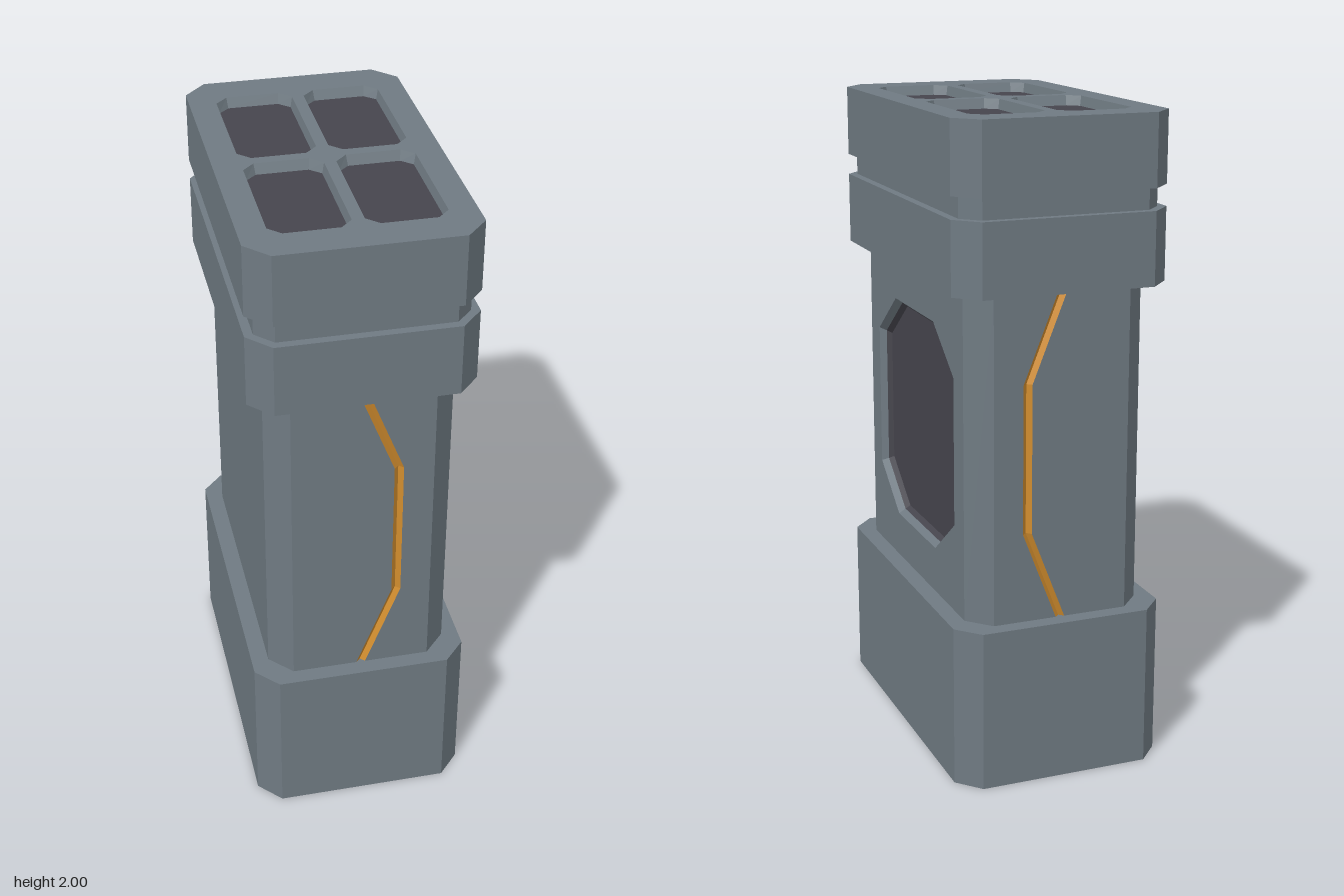
import * as THREE from 'three';

const mat = (name, color, side = THREE.FrontSide) => {
  const m = new THREE.MeshStandardMaterial({ color, side });
  m.name = name;
  return m;
};

export function createModel() {
  const steel = mat('steel grey', 0x6f7a82);
  const dark = mat('dark panel', 0x46454d);
  const amber = mat('amber', 0xd08c2e);
  const model = new THREE.Group();
  model.name = 'pillar';

  const mesh = (name, geometry, material, parent) => {
    const m = new THREE.Mesh(geometry, material);
    m.name = name;
    parent.add(m);
    return m;
  };
  const group = (name, parent = model) => {
    const g = new THREE.Group();
    g.name = name;
    parent.add(g);
    return g;
  };

  // Flat-shaded skin between columns of points; columns run left to right, points upward
  const skin = (cols) => {
    const pos = [];
    for (let i = 0; i + 1 < cols.length; i++) {
      for (let j = 0; j + 1 < cols[i].length; j++) {
        const a = cols[i][j], b = cols[i + 1][j], c = cols[i + 1][j + 1], d = cols[i][j + 1];
        pos.push(...a, ...b, ...c, ...a, ...c, ...d);
      }
    }
    const g = new THREE.BufferGeometry();
    g.setAttribute('position', new THREE.Float32BufferAttribute(pos, 3));
    g.computeVertexNormals();
    return g;
  };

  // Counter-clockwise rectangle with cut corners, half sizes a and b, cuts ca and cb
  const octagon = (a, b, ca, cb, x = 0, y = 0) => [
    [a, -b + cb], [a, b - cb], [a - ca, b], [-a + ca, b],
    [-a, b - cb], [-a, -b + cb], [-a + ca, -b], [a - ca, -b],
  ].map(([u, v]) => new THREE.Vector2(x + u, y + v));

  // Walls through a series of [outline, height] rings
  const walls = (rings) => skin([...Array(9).keys()].map((i) =>
    rings.map(([o, h]) => [o[i % 8].x, o[i % 8].y, h])));

  // Flat face with optional holes
  const face = (outline, h, holes = []) => {
    const s = new THREE.Shape(outline);
    holes.forEach((o) => s.holes.push(new THREE.Path(o)));
    return new THREE.ShapeGeometry(s).translate(0, 0, h);
  };

  // Upright block with cut corners, modelled along z and then stood up
  const block = (name, outline, y0, y1, holes = []) => {
    const g = group(name);
    g.rotation.x = -Math.PI / 2;
    mesh(name + 'Walls', walls([[outline, y0], [outline, y1]]), steel, g);
    mesh(name + 'Top', face(outline, y1, holes), steel, g);
    mesh(name + 'Bottom', face(outline, 0).rotateX(Math.PI).translate(0, 0, y0), steel, g);
    return g;
  };

  const wide = octagon(0.333, 0.557, 0.067, 0.072);
  block('base', wide, 0, 0.5);
  block('collar', wide, 1.5, 1.72);
  block('neck', octagon(0.307, 0.531, 0.051, 0.054), 1.72, 1.785);

  // Crown with four sunken wells
  const wells = [];
  for (const sx of [-1, 1]) for (const sz of [-1, 1]) wells.push([sx * 0.1345, sz * 0.23]);
  const wellOutline = ([x, y]) => octagon(0.1165, 0.212, 0.036, 0.036, x, y);
  const crown = block('crown', wide, 1.785, 2, wells.map(wellOutline));
  for (const w of wells) {
    const floor = octagon(0.11, 0.2, 0.033, 0.031, ...w);
    mesh('wellRim', walls([[wellOutline(w), 2], [floor, 1.97]]), steel, crown);
    mesh('wellFloor', face(floor, 1.97), dark, crown);
  }

  // Shaft between base and collar: plain side and cut corners
  const X = 0.28, Z = 0.507, CX = 0.213, CZ = 0.435;
  const edge = (x, z) => [[x, 0.5, z], [x, 1.5, z]];
  const shaft = group('shaft');
  mesh('plainSide', skin([edge(-CX, -Z), edge(-X, -CZ), edge(-X, CZ), edge(-CX, Z)]), steel, shaft);
  mesh('cornerFront', skin([edge(CX, Z), edge(X, CZ)]), steel, shaft);
  mesh('cornerBack', skin([edge(X, -CZ), edge(CX, -Z)]), steel, shaft);

  // Front and back faces, each cut by a bent amber groove
  const path = [[0, 0.5], [0.107, 0.775], [0.107, 1.23], [0, 1.5]];
  for (const [name, s] of [['front', 1], ['back', -1]]) {
    const g = group(name + 'Face', shaft);
    if (s < 0) g.rotation.y = Math.PI;
    const along = (dx, z) => path.map(([x, y]) => [s * x + dx, y, z]);
    const side = (x) => path.map(([, y]) => [x, y, Z]);
    const w = 0.014;
    mesh('panel', skin([side(-CX), along(-w, Z)]), steel, g);
    mesh('panel', skin([along(w, Z), side(CX)]), steel, g);
    mesh('groove', skin([along(-w, Z), along(0, Z - 0.014), along(w, Z)]), amber, g);
  }

  // Left face with a stepped octagonal recess
  const left = group('recessedSide', shaft);
  left.rotation.y = Math.PI / 2;
  const rim = octagon(0.353, 0.36, 0.175, 0.132, 0, 1.003);
  const step = octagon(0.339, 0.345, 0.168, 0.126, 0, 1.003);
  const floor = octagon(0.328, 0.333, 0.162, 0.122, 0, 1.003);
  const panel = [[-CZ, 0.5], [CZ, 0.5], [CZ, 1.5], [-CZ, 1.5]].map((p) => new THREE.Vector2(...p));
  mesh('sidePanel', face(panel, X, [rim]), steel, left);
  mesh('recessRim', walls([[rim, X], [step, X - 0.02]]), steel, left);
  mesh('recessWall', walls([[step, X - 0.02], [floor, X - 0.035]]), dark, left);
  mesh('recessFloor', face(floor, X - 0.035), dark, left);

  return model;
}
